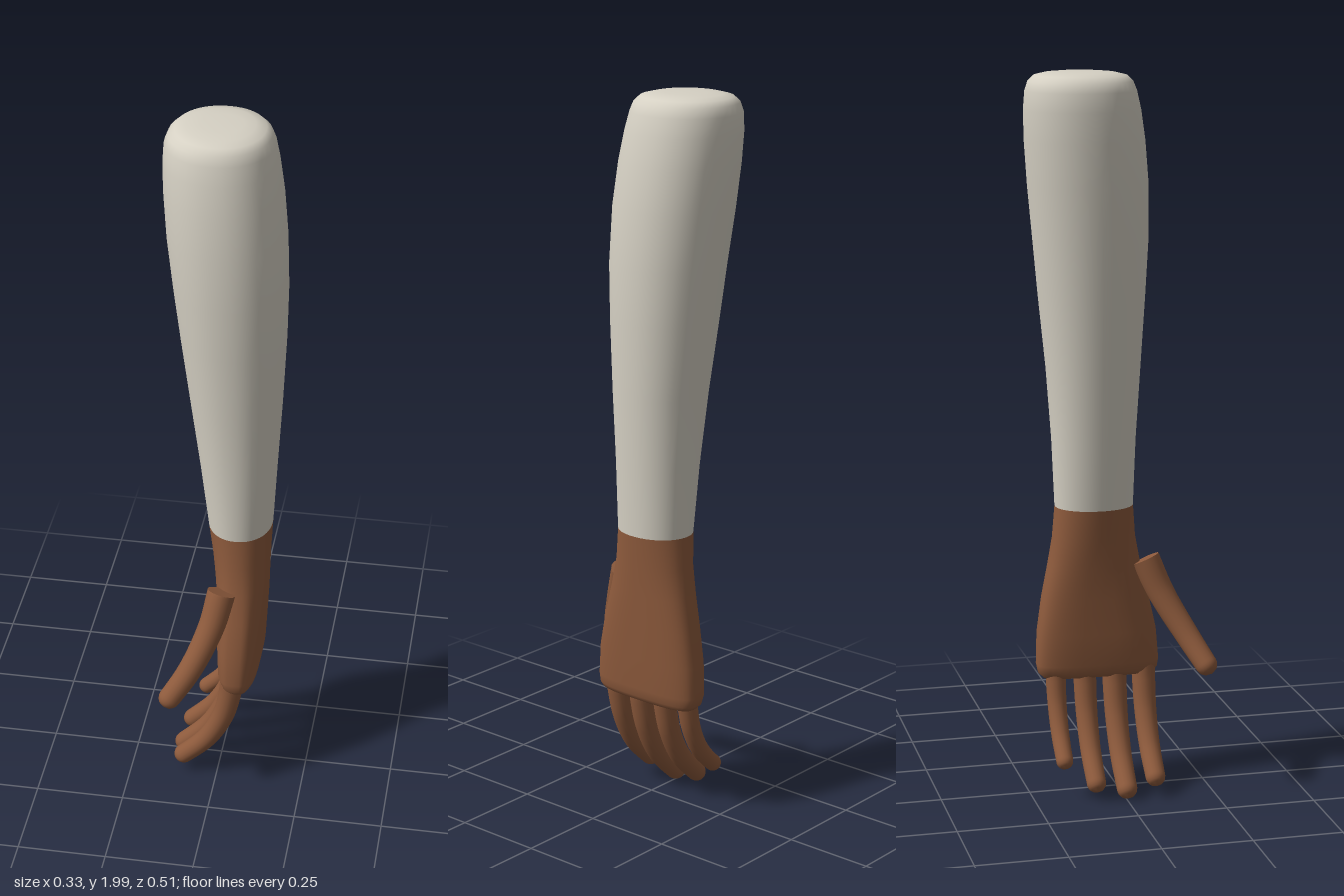
import * as THREE from 'three';
import { mergeVertices } from 'three/addons/utils/BufferGeometryUtils.js';

const SIDES = 40;

// Closed skin through superellipse sections [y, xMin, xMax, zMin, zMax, exponent], bottom to top
function loft(sections, capBottom, capTop) {
  const pos = [], idx = [];
  for (const [y, x0, x1, z0, z1, e] of sections) {
    for (let i = 0; i < SIDES; i++) {
      const a = (i / SIDES) * Math.PI * 2, c = Math.cos(a), s = Math.sin(a);
      pos.push(
        (x0 + x1) / 2 + ((x1 - x0) / 2) * Math.sign(c) * Math.abs(c) ** (2 / e),
        y,
        (z0 + z1) / 2 + ((z1 - z0) / 2) * Math.sign(s) * Math.abs(s) ** (2 / e));
    }
  }
  for (let r = 0; r < sections.length - 1; r++) {
    for (let i = 0; i < SIDES; i++) {
      const j = (i + 1) % SIDES, a = r * SIDES + i, b = r * SIDES + j;
      idx.push(a, a + SIDES, b, b, a + SIDES, b + SIDES);
    }
  }
  const cap = (r, up) => {
    const [y, x0, x1, z0, z1] = sections[r], centre = pos.length / 3;
    pos.push((x0 + x1) / 2, y, (z0 + z1) / 2);
    for (let i = 0; i < SIDES; i++) {
      const a = r * SIDES + i, b = r * SIDES + (i + 1) % SIDES;
      if (up) idx.push(centre, b, a); else idx.push(centre, a, b);
    }
  };
  if (capBottom) cap(0, false);
  if (capTop) cap(sections.length - 1, true);
  const g = new THREE.BufferGeometry();
  g.setAttribute('position', new THREE.Float32BufferAttribute(pos, 3));
  g.setIndex(idx);
  g.computeVertexNormals();
  return g;
}

// Tapered tube with a rounded tip and a flat disc at its root
function digit(name, points, r0, r1, material) {
  const curve = new THREE.CatmullRomCurve3(points.map(p => new THREE.Vector3(...p)));
  const segs = 64, sides = 18, length = curve.getLength();
  let g = new THREE.TubeGeometry(curve, segs, 1, sides, false);
  const p = g.attributes.position, v = new THREE.Vector3();
  for (let i = 0; i <= segs; i++) {
    const u = i / segs, centre = curve.getPointAt(u);
    const tip = Math.max(0, 1 - ((1 - u) * length) / r1);
    const radius = THREE.MathUtils.lerp(r0, r1, u) * Math.sqrt(1 - tip * tip);
    for (let j = 0; j <= sides; j++) {
      const k = i * (sides + 1) + j;
      v.fromBufferAttribute(p, k).sub(centre).multiplyScalar(radius).add(centre);
      p.setXYZ(k, v.x, v.y, v.z);
    }
  }
  g.deleteAttribute('uv');
  g.deleteAttribute('normal');
  g = mergeVertices(g, 1e-5);
  g.computeVertexNormals();
  const group = new THREE.Group();
  group.name = name;
  const root = new THREE.Mesh(new THREE.CircleGeometry(r0, sides), material);
  root.position.copy(curve.getPointAt(0));
  root.quaternion.setFromUnitVectors(new THREE.Vector3(0, 0, 1), curve.getTangentAt(0).negate());
  root.name = name + 'Root';
  const body = new THREE.Mesh(g, material);
  body.name = name + 'Body';
  group.add(body, root);
  return group;
}

export function createModel() {
  const model = new THREE.Group();
  model.name = 'arm';
  const cloth = new THREE.MeshStandardMaterial({ color: 0xd6d1c4 });
  cloth.name = 'sleeve cloth';
  const skin = new THREE.MeshStandardMaterial({ color: 0x8d5a3c });
  skin.name = 'brown skin';

  // Sleeve, leaning slightly back and rounded over at the top
  const sleeve = new THREE.Mesh(loft([
    [0.81, -0.043, 0.135, -0.163, 0.055, 2.1],
    [1.0, -0.066, 0.145, -0.172, 0.06, 2.1],
    [1.2, -0.093, 0.156, -0.188, 0.07, 2.1],
    [1.4, -0.12, 0.164, -0.21, 0.08, 2.1],
    [1.55, -0.139, 0.166, -0.225, 0.086, 2.1],
    [1.7, -0.157, 0.16, -0.241, 0.083, 2.1],
    [1.82, -0.166, 0.148, -0.251, 0.071, 2.1],
    [1.9, -0.168, 0.135, -0.254, 0.058, 2.1],
    [1.95, -0.165, 0.124, -0.251, 0.046, 2.1],
    [1.975, -0.155, 0.114, -0.243, 0.036, 2.1],
    [1.99, -0.138, 0.098, -0.228, 0.02, 2.1],
    [1.997, -0.11, 0.07, -0.2, -0.01, 2.1],
    [2.0, -0.07, 0.04, -0.16, -0.05, 2.1],
  ], false, true), cloth);
  sleeve.name = 'sleeve';

  // Wrist and palm, flattening towards the knuckles
  const palm = new THREE.Mesh(loft([
    [0.318, 0.03, 0.085, -0.18, 0.1, 3],
    [0.322, 0.012, 0.1, -0.2, 0.118, 3],
    [0.335, 0.002, 0.107, -0.212, 0.127, 3],
    [0.36, -0.006, 0.111, -0.217, 0.13, 3],
    [0.45, -0.01, 0.116, -0.214, 0.122, 3],
    [0.55, -0.013, 0.122, -0.2, 0.1, 2.8],
    [0.64, -0.02, 0.126, -0.183, 0.077, 2.5],
    [0.72, -0.03, 0.13, -0.17, 0.062, 2.2],
    [0.81, -0.043, 0.135, -0.163, 0.055, 2.1],
  ], true, false), skin);
  palm.name = 'palm';
  model.add(sleeve, palm);

  // Fingers curling towards the palm side: name, z, reach, radius
  const fingers = [
    ['indexFinger', 0.087, 0.93, 0.034],
    ['middleFinger', 0.003, 1, 0.035],
    ['ringFinger', -0.082, 0.94, 0.033],
    ['littleFinger', -0.165, 0.76, 0.029],
  ];
  const curl = [[0, 0], [-0.008, -0.07], [-0.03, -0.16], [-0.08, -0.255], [-0.175, -0.352]];
  for (const [name, z, reach, r] of fingers) {
    const path = curl.map(([x, y]) => [0.045 + x * reach, 0.365 + y * reach, z]);
    model.add(digit(name, path, r, r * 0.8, skin));
  }

  // Thumb, swung forward from the wrist
  model.add(digit('thumb', [
    [0.013, 0.655, 0.085], [-0.01, 0.56, 0.125], [-0.06, 0.45, 0.185], [-0.128, 0.353, 0.24],
  ], 0.04, 0.03, skin));

  return model;
}
